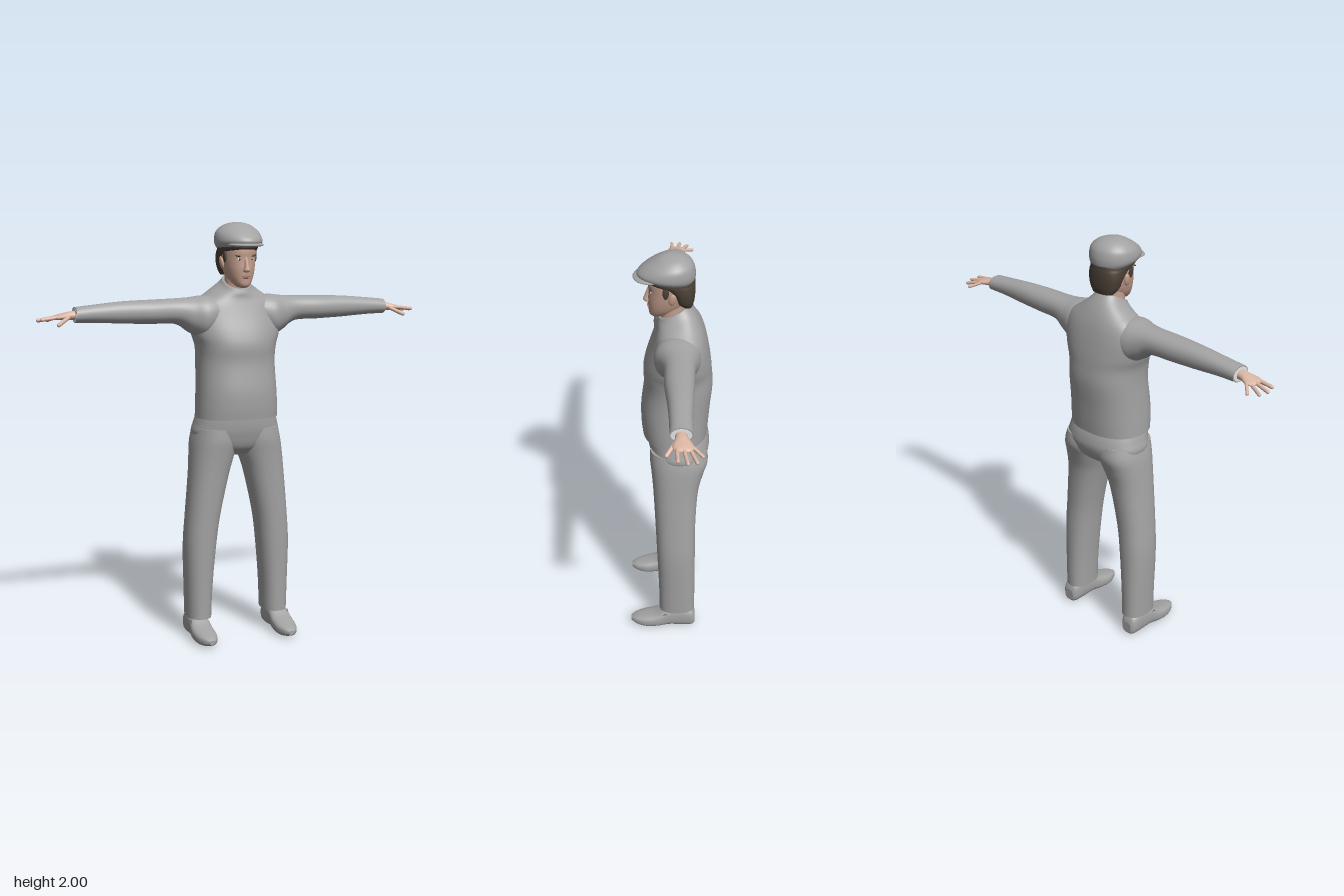
import * as THREE from 'three';

const mat = (name, color) => Object.assign(new THREE.MeshStandardMaterial({ color }), { name });

// Smooth value between rows of numbers (Catmull-Rom on every column)
function sample(rows, f) {
  const n = rows.length - 1, i = Math.min(Math.floor(f), n - 1), t = f - i;
  const at = (k) => rows[Math.max(0, Math.min(n, k))];
  return rows[0].map((_, c) => {
    const [a, b, d, e] = [at(i - 1)[c], at(i)[c], at(i + 1)[c], at(i + 2)[c]];
    return b + 0.5 * t * (d - a + t * (2 * a - 5 * b + 4 * d - e + t * (3 * (b - d) + e - a)));
  });
}

// Skin over rounded cross-sections. Row: position on axis, u min, u max, v min, v max, tilt.
// Axis y uses u = x, v = z; axis x uses u = y, v = z; axis z uses u = x, v = y.
function loft(axis, rows, { side = 1, power = 2, taper = 0, seg = 32, steps = 5 } = {}) {
  const pos = [], idx = [], count = (rows.length - 1) * steps;
  const flip = (axis === 'y') !== (side < 0);
  const tri = (a, b, c) => (flip ? idx.push(a, c, b) : idx.push(a, b, c));
  const full = rows.map((r) => [...r, 0].slice(0, 6));
  const ring = (r) => {
    const [t, u0, u1, v0, v1, tilt] = r;
    for (let j = 0; j < seg; j++) {
      const a = (j / seg) * Math.PI * 2, c = Math.cos(a), s = Math.sin(a), e = 2 / power;
      const dv = (v1 - v0) / 2 * Math.sign(s) * Math.abs(s) ** e;
      const u = (u0 + u1) / 2 + (u1 - u0) / 2 * Math.sign(c) * Math.abs(c) ** e * (1 - taper * s);
      const v = (v0 + v1) / 2 + dv, w = t - tilt * dv;
      const p = axis === 'y' ? [u, w, v] : axis === 'x' ? [w, u, v] : [u, v, w];
      pos.push(p[0] * side, p[1], p[2]);
    }
  };
  for (let i = 0; i <= count; i++) ring(sample(full, i / steps));
  for (let i = 0; i < count; i++) for (let j = 0; j < seg; j++) {
    const a = i * seg + j, b = i * seg + (j + 1) % seg;
    tri(a, b, b + seg);
    tri(a, b + seg, a + seg);
  }
  // End caps with their own ring, so the rim stays crisp
  [full[0], full[full.length - 1]].forEach((r, end) => {
    const base = pos.length / 3;
    ring(r);
    const m = [0, 0, 0];
    for (let j = 0; j < seg; j++) for (let k = 0; k < 3; k++) m[k] += pos[(base + j) * 3 + k] / seg;
    pos.push(...m);
    for (let j = 0; j < seg; j++) {
      const a = base + j, b = base + (j + 1) % seg;
      end ? tri(a, b, base + seg) : tri(b, a, base + seg);
    }
  });
  const g = new THREE.BufferGeometry();
  g.setAttribute('position', new THREE.Float32BufferAttribute(pos, 3));
  g.setIndex(idx);
  g.computeVertexNormals();
  return g;
}

export function createModel() {
  const cloth = mat('grey cloth', 0xa3a3a3), skin = mat('skin', 0xdab5a2), face = mat('face skin', 0xc49f8d);
  const hair = mat('dark brown hair', 0x4b4237), white = mat('white lining', 0xeeeeee);
  const dark = mat('eye dark', 0x2c2522), lip = mat('lips', 0xa06f64), metal = mat('buckle grey', 0x6c6c6c);

  const model = new THREE.Group();
  model.name = 'man';
  const add = (name, geo, m, parent = model) => {
    const mesh = new THREE.Mesh(geo, m);
    mesh.name = name;
    parent.add(mesh);
    return mesh;
  };
  const blob = (name, m, parent, p, s, rz = 0, rx = 0) => {
    const b = add(name, new THREE.SphereGeometry(1, 20, 14), m, parent);
    b.position.set(...p);
    b.scale.set(...s);
    b.rotation.set(rx, 0, rz);
    return b;
  };

  // Sweater body with sloping shoulders and a tilted collar
  add('sweater', loft('y', [
    [1.08, -0.2, 0.2, -0.175, 0.13], [1.14, -0.198, 0.198, -0.18, 0.136],
    [1.22, -0.194, 0.194, -0.186, 0.136], [1.34, -0.19, 0.19, -0.197, 0.122],
    [1.42, -0.195, 0.195, -0.192, 0.124], [1.48, -0.214, 0.214, -0.186, 0.112],
    [1.56, -0.225, 0.225, -0.172, 0.085], [1.62, -0.205, 0.205, -0.155, 0.068, 0.05],
    [1.665, -0.14, 0.14, -0.13, 0.06, 0.2], [1.70, -0.085, 0.085, -0.1, 0.058, 0.4],
    [1.722, -0.066, 0.066, -0.082, 0.053, 0.5],
  ], { power: 2.3, seg: 48 }), cloth);

  // Trouser seat
  add('trouserSeat', loft('y', [
    [0.9, -0.06, 0.06, -0.1, 0.04], [0.94, -0.17, 0.17, -0.16, 0.08],
    [1.0, -0.214, 0.214, -0.185, 0.1], [1.05, -0.206, 0.206, -0.182, 0.108],
    [1.1, -0.192, 0.192, -0.165, 0.11],
  ], { power: 2.3, seg: 40 }), cloth);

  for (const side of [1, -1]) {
    const limb = new THREE.Group();
    limb.name = side > 0 ? 'leftLimbs' : 'rightLimbs';
    model.add(limb);

    add('trouserLeg', loft('y', [
      [0.1, 0.137, 0.258, -0.12, 0.055], [0.25, 0.13, 0.262, -0.12, 0.058],
      [0.45, 0.112, 0.266, -0.12, 0.066], [0.6, 0.092, 0.256, -0.12, 0.072],
      [0.8, 0.048, 0.238, -0.132, 0.082], [0.9, 0.018, 0.229, -0.156, 0.09],
      [0.97, 0.002, 0.22, -0.178, 0.097], [1.03, 0.01, 0.205, -0.17, 0.095],
    ], { side, power: 2.3 }), cloth);

    add('shoe', loft('z', [
      [-0.122, 0.18, 0.235, 0.01, 0.07], [-0.105, 0.165, 0.25, 0.0, 0.105],
      [-0.05, 0.16, 0.255, 0.0, 0.125], [0.01, 0.158, 0.258, 0.006, 0.115],
      [0.07, 0.154, 0.264, 0.002, 0.08], [0.13, 0.156, 0.258, 0.0, 0.063],
      [0.175, 0.172, 0.24, 0.008, 0.052], [0.2, 0.192, 0.218, 0.02, 0.04],
    ], { side, power: 2.7 }), cloth);
    const buckle = add('shoeBuckle', new THREE.TorusGeometry(0.013, 0.003, 6, 4), metal, limb);
    buckle.position.set(side * 0.253, 0.08, 0.025);
    buckle.rotation.y = side * Math.PI / 2;

    // Sleeve from shoulder to wrist, with a pale lining in the opening
    add('sleeve', loft('x', [
      [0.1, 1.5, 1.655, -0.13, 0.06], [0.17, 1.46, 1.659, -0.135, 0.075],
      [0.23, 1.485, 1.652, -0.122, 0.052], [0.3, 1.528, 1.648, -0.108, 0.032],
      [0.42, 1.533, 1.645, -0.102, 0.031], [0.55, 1.538, 1.641, -0.094, 0.02],
      [0.68, 1.546, 1.63, -0.087, 0.013], [0.78, 1.549, 1.62, -0.087, 0.012],
    ], { side, power: 2.2 }), cloth, limb);
    add('sleeveLining', loft('x', [
      [0.779, 1.553, 1.615, -0.081, 0.007], [0.7815, 1.553, 1.615, -0.081, 0.007],
    ], { side, steps: 1 }), white, limb);

    // Hand with spread fingers
    add('palm', loft('x', [
      [0.76, 1.562, 1.604, -0.062, -0.012], [0.8, 1.562, 1.602, -0.066, -0.01],
      [0.84, 1.563, 1.593, -0.085, 0.0], [0.868, 1.564, 1.586, -0.085, -0.004],
      [0.882, 1.57, 1.579, -0.07, -0.02],
    ], { side, seg: 20 }), skin, limb);
    const fingers = [
      ['littleFinger', [0.845, 1.577, -0.077], [0.888, 1.556, -0.122], 0.0075],
      ['ringFinger', [0.86, 1.576, -0.068], [0.932, 1.558, -0.098], 0.008],
      ['middleFinger', [0.865, 1.577, -0.045], [0.945, 1.563, -0.06], 0.0085],
      ['indexFinger', [0.86, 1.577, -0.018], [0.935, 1.568, -0.02], 0.0085],
      ['thumb', [0.815, 1.575, -0.012], [0.868, 1.546, 0.025], 0.0095],
    ];
    for (const [name, from, to, r] of fingers) {
      const a = new THREE.Vector3(...from), b = new THREE.Vector3(...to);
      a.x *= side;
      b.x *= side;
      const d = b.clone().sub(a), f = add(name, new THREE.CapsuleGeometry(r, d.length(), 4, 10), skin, limb);
      f.position.copy(a).lerp(b, 0.5);
      f.quaternion.setFromUnitVectors(new THREE.Vector3(0, 1, 0), d.normalize());
    }
  }

  // Neck and head, turned very slightly to the left
  const head = new THREE.Group();
  head.name = 'head';
  head.rotation.y = 0.06;
  model.add(head);
  add('neck', loft('y', [
    [1.66, -0.06, 0.06, -0.08, 0.045], [1.73, -0.056, 0.056, -0.074, 0.046], [1.8, -0.056, 0.056, -0.08, 0.04],
  ]), face, head);
  add('face', loft('y', [
    [1.697, -0.018, 0.018, 0.04, 0.082], [1.71, -0.036, 0.036, -0.005, 0.094],
    [1.74, -0.056, 0.056, -0.05, 0.097], [1.78, -0.069, 0.069, -0.085, 0.1],
    [1.83, -0.077, 0.077, -0.1, 0.098], [1.87, -0.079, 0.079, -0.1, 0.1], [1.92, -0.078, 0.078, -0.09, 0.09],
  ], { power: 2.2 }), face, head);
  add('hair', loft('y', [
    [1.752, -0.055, 0.055, -0.1, -0.05], [1.78, -0.074, 0.074, -0.108, -0.016],
    [1.82, -0.085, 0.085, -0.112, 0.004], [1.855, -0.088, 0.088, -0.113, 0.045],
    [1.875, -0.089, 0.089, -0.112, 0.1], [1.91, -0.089, 0.089, -0.108, 0.112],
  ], { power: 2.3 }), hair, head);

  // Facial features
  add('nose', loft('y', [
    [1.768, -0.008, 0.008, 0.085, 0.104], [1.777, -0.017, 0.017, 0.08, 0.121],
    [1.8, -0.011, 0.011, 0.08, 0.115], [1.84, -0.008, 0.008, 0.08, 0.1],
  ], { seg: 16 }), face, head);
  blob('upperLip', lip, head, [0, 1.75, 0.0965], [0.023, 0.004, 0.006]);
  blob('lowerLip', lip, head, [0, 1.743, 0.0955], [0.018, 0.004, 0.006]);
  for (const s of [1, -1]) {
    blob('eye', white, head, [s * 0.031, 1.829, 0.088], [0.012, 0.0045, 0.004]);
    blob('iris', dark, head, [s * 0.031, 1.829, 0.0905], [0.005, 0.0045, 0.003]);
    blob('eyebrow', hair, head, [s * 0.034, 1.845, 0.0885], [0.021, 0.0045, 0.006], s * 0.12);
    blob('ear', face, head, [s * 0.081, 1.812, -0.004], [0.009, 0.03, 0.017], -s * 0.15, -0.15);
    blob('sideburn', hair, head, [s * 0.077, 1.845, 0.025], [0.008, 0.032, 0.014]);
  }

  // Flat cap with a short visor
  add('cap', loft('y', [
    [1.883, -0.094, 0.094, -0.108, 0.125, -0.06], [1.9, -0.107, 0.107, -0.113, 0.148, -0.04],
    [1.925, -0.109, 0.109, -0.112, 0.142], [1.955, -0.1, 0.1, -0.1, 0.112, 0.04],
    [1.982, -0.07, 0.07, -0.07, 0.068, 0.05], [1.995, -0.035, 0.035, -0.04, 0.035, 0.03],
    [1.999, -0.008, 0.008, -0.012, 0.008],
  ], { taper: 0.12, seg: 40 }), cloth, head);
  blob('capVisor', cloth, head, [0, 1.897, 0.085], [0.088, 0.012, 0.082], 0, 0.04);
  return model;
}
